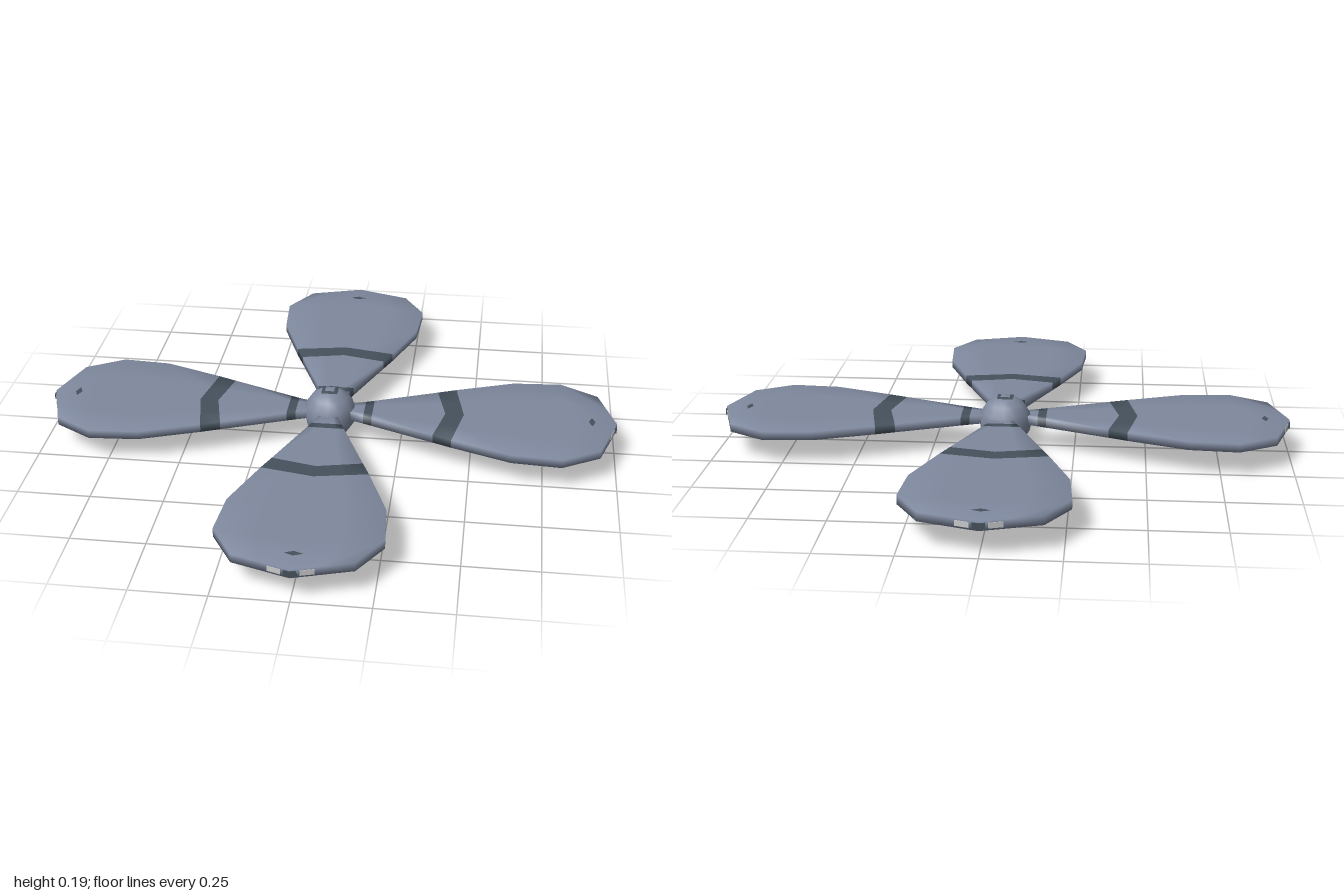
import * as THREE from 'three';

const steel = new THREE.MeshStandardMaterial({ name: 'blueGreySteel', color: 0x7f899e });
const dark = new THREE.MeshStandardMaterial({ name: 'darkSlate', color: 0x45515c });
const pale = new THREE.MeshStandardMaterial({ name: 'paleGrey', color: 0xc8c9ca });

const TOP = 0.118, BOTTOM = 0.088;

// Blade stations from root to tip: [distance, half width, forward bow, is dark band up to next station]
const STATIONS = [
  [0.04, 0.022, 0, 0], [0.12, 0.052, 0, 1], [0.15, 0.064, 0, 0],
  [0.37, 0.153, 0.035, 1], [0.435, 0.18, 0.035, 0], [0.64, 0.256, 0.04, 0],
  [0.81, 0.268, 0.05, 0], [0.94, 0.19, 0.06, 0],
];
const COLUMNS = [-1, -0.5, 0, 0.5, 1];

// Thin slab with shared corners, so the shading rolls softly over the rim
function bladeGeometry() {
  const n = COLUMNS.length, ring = 2 * n;
  const positions = [], index = [], geometry = new THREE.BufferGeometry();
  for (const [z, w, bow] of STATIONS) {
    for (const u of COLUMNS) positions.push(u * w, TOP, z + bow * (1 - Math.abs(u)));
    for (const u of [...COLUMNS].reverse()) positions.push(u * w, BOTTOM, z + bow * (1 - Math.abs(u)));
  }
  for (let s = 0; s < STATIONS.length - 1; s++) {
    const start = index.length;
    for (let k = 0; k < ring; k++) {
      const a = s * ring + k, b = s * ring + (k + 1) % ring;
      index.push(a, a + ring, b, b, a + ring, b + ring);
    }
    geometry.addGroup(start, index.length - start, STATIONS[s][3]);
  }
  // End walls at root and tip
  const start = index.length, last = (STATIONS.length - 1) * ring;
  for (let k = 0; k < n - 1; k++) {
    const a = k, b = k + 1, c = ring - 2 - k, d = ring - 1 - k;
    index.push(a, b, c, a, c, d);
    index.push(last + a, last + c, last + b, last + a, last + d, last + c);
  }
  geometry.addGroup(start, index.length - start, 0);
  geometry.setAttribute('position', new THREE.Float32BufferAttribute(positions, 3));
  geometry.setIndex(index);
  geometry.computeVertexNormals();
  return geometry;
}

function addMesh(parent, name, geometry, material, x, y, z) {
  const mesh = new THREE.Mesh(geometry, material);
  mesh.name = name;
  mesh.position.set(x, y, z);
  parent.add(mesh);
  return mesh;
}

export function createModel() {
  const model = new THREE.Group();
  model.name = 'propeller';

  const bladeShape = bladeGeometry();
  const chipShape = new THREE.BoxGeometry(0.045, 0.018, 0.006);
  const tipShape = new THREE.BoxGeometry(0.04, 0.02, 0.007);
  const diamond = new THREE.CircleGeometry(1, 4).rotateX(-Math.PI / 2).scale(0.03, 1, 0.012);

  for (let i = 0; i < 4; i++) {
    const arm = new THREE.Group();
    arm.name = 'blade' + (i + 1);
    arm.rotation.y = i * Math.PI / 2;
    addMesh(arm, 'bladeBody', bladeShape, [steel, dark], 0, 0, 0);
    addMesh(arm, 'tipDiamond', diamond, dark, 0, TOP + 0.002, 0.915);
    // Marks on the tip rim
    addMesh(arm, 'tipMark', tipShape, dark, 0, 0.103, 0.9965);
    for (const side of [-1, 1]) {
      addMesh(arm, 'tipChip', chipShape, pale, side * 0.05, 0.103, 0.983).rotation.y = side * 0.306;
    }
    model.add(arm);
  }

  // Round hub with a small square collar on its crown
  const hub = new THREE.Group();
  hub.name = 'hub';
  hub.position.set(-0.004, 0.093, -0.01);
  addMesh(hub, 'hubBall', new THREE.SphereGeometry(0.093, 12, 8), steel, 0, 0, 0);
  const collar = new THREE.CylinderGeometry(0.023, 0.04, 0.004, 4, 1, true).rotateY(Math.PI / 4);
  addMesh(hub, 'hubCollar', collar, dark, 0, 0.0895, 0);
  model.add(hub);

  return model;
}
